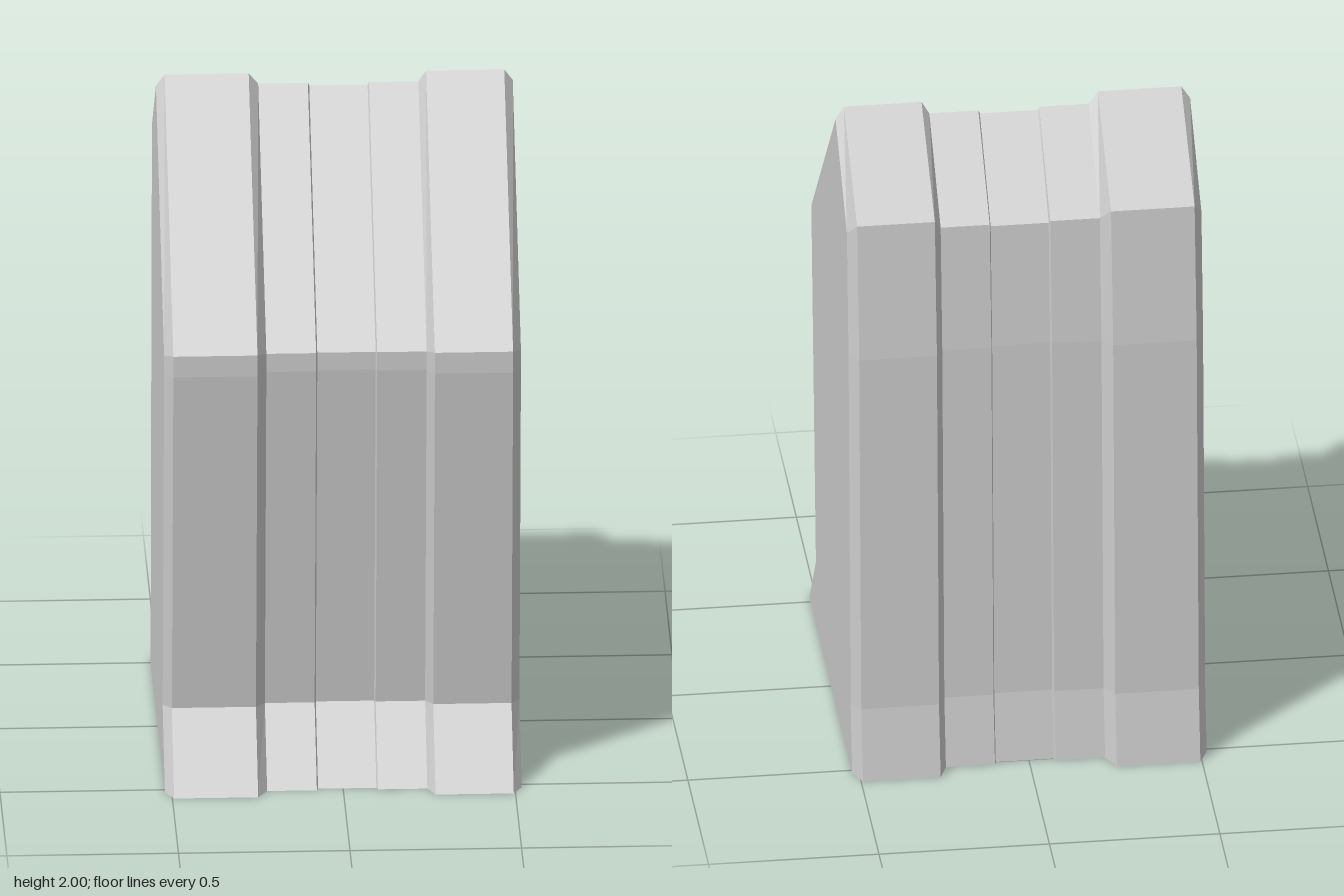
import * as THREE from 'three';

// Side profile as [z, y], from the front foot over the ridge to the back foot.
const FULL = [[0.57, 0], [0.41, 0.22], [0.52, 1.30], [0.52, 1.365], [-0.107, 2],
  [-0.43, 1.78], [-0.48, 1.36], [-0.53, 0.22], [-0.57, 0]];
const INSET = [[0.51, 0], [0.35, 0.21], [0.455, 1.29], [0.455, 1.345], [-0.116, 1.955],
  [-0.378, 1.725], [-0.415, 1.345], [-0.465, 0.21], [-0.502, 0]];

// Stations across the width as [x, inset amount]: bevelled ends, two ribs, stepped groove.
const STATIONS = [[-0.52, 0.8], [-0.495, 0], [-0.25, 0], [-0.222, 0.8], [-0.077, 0.8], [-0.073, 1],
  [0.097, 1], [0.101, 0.8], [0.245, 0.8], [0.267, 0], [0.495, 0], [0.52, 0.8]];

const profileAt = (t) => FULL.map(([z, y], i) => [
  THREE.MathUtils.lerp(z, INSET[i][0], t), THREE.MathUtils.lerp(y, INSET[i][1], t)]);

// Skin stretched over the profiles, open along the bottom
function loftGeometry() {
  const positions = [], indices = [], n = FULL.length;
  STATIONS.forEach(([x, t], s) => {
    profileAt(t).forEach(([z, y], j) => {
      positions.push(x, y, z);
      if (s < STATIONS.length - 1 && j < n - 1) {
        const a = s * n + j, b = a + n;
        indices.push(a, b, b + 1, a, b + 1, a + 1);
      }
    });
  });
  const geometry = new THREE.BufferGeometry();
  geometry.setAttribute('position', new THREE.Float32BufferAttribute(positions, 3));
  geometry.setIndex(indices);
  const flat = geometry.toNonIndexed();
  flat.computeVertexNormals();
  return flat;
}

// Flat end wall facing outward on the given side
function endWallGeometry([x, t], side) {
  const shape = new THREE.Shape(profileAt(t).map(([z, y]) => new THREE.Vector2(-side * z, y)));
  return new THREE.ShapeGeometry(shape).rotateY(side * Math.PI / 2).translate(x, 0, 0);
}

export function createModel() {
  const group = new THREE.Group();
  group.name = 'ribbedBlock';
  const material = new THREE.MeshStandardMaterial({
    color: 0xcccccc, flatShading: true, side: THREE.DoubleSide });
  const add = (name, geometry) => {
    const mesh = new THREE.Mesh(geometry, material);
    mesh.name = name;
    group.add(mesh);
  };
  add('groovedShell', loftGeometry());
  add('rightEndWall', endWallGeometry(STATIONS[0], -1));
  add('leftEndWall', endWallGeometry(STATIONS[STATIONS.length - 1], 1));
  return group;
}
